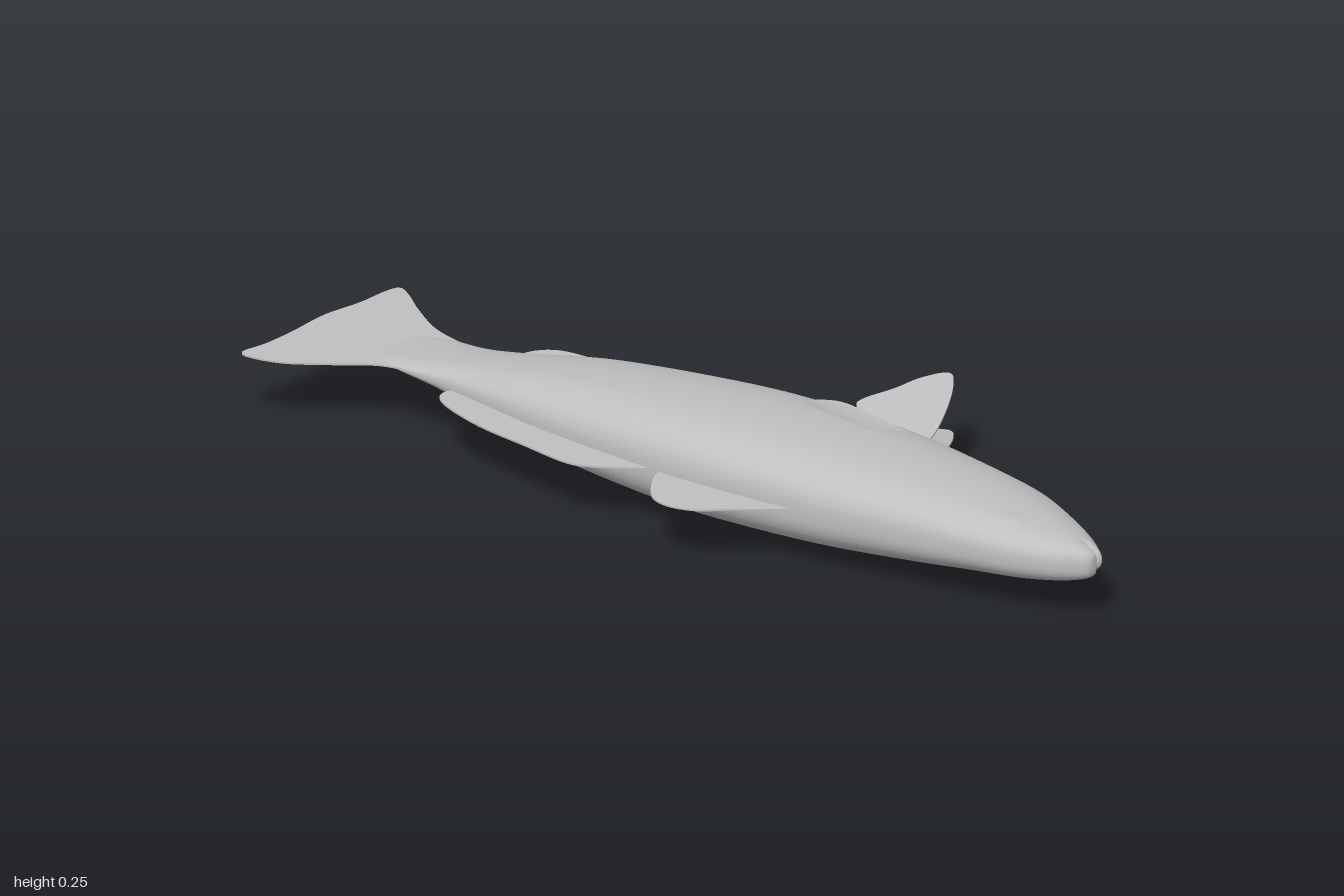
import * as THREE from 'three';

const MID = 0.137; // height of the mirror plane; the fish lies on its side

// Body sections: x, belly z, back z, half thickness, centre height
const SECTIONS = [
  [-0.78, 0.03, 0.165, 0.002, 0.155], [-0.7, 0.004, 0.183, 0.012, 0.154],
  [-0.6, 0, 0.184, 0.03, 0.15], [-0.5, -0.025, 0.2, 0.05, 0.146],
  [-0.3, -0.09, 0.236, 0.083, 0.143], [0, -0.145, 0.262, 0.104, 0.141],
  [0.2, -0.16, 0.26, 0.105, 0.14], [0.4, -0.155, 0.246, 0.098, 0.139],
  [0.6, -0.125, 0.217, 0.083, 0.138], [0.74, -0.095, 0.195, 0.068, 0.137],
  [0.85, -0.045, 0.174, 0.056, 0.135], [0.93, 0.002, 0.147, 0.044, 0.134],
  [0.975, 0.036, 0.118, 0.034, 0.133], [0.996, 0.056, 0.1, 0.022, 0.132],
  [1, 0.08, 0.08, 0, 0.132],
];

function bodyGeometry() {
  const curve = (f) => new THREE.CatmullRomCurve3(SECTIONS.map(f), false, 'catmullrom', 0.5);
  const belly = curve((s) => new THREE.Vector3(s[0], s[4], s[1]));
  const back = curve((s) => new THREE.Vector3(s[0], s[3], s[2]));
  const rings = 84, sides = 64, pos = [], index = [];
  const bend = (v, p) => Math.sign(v) * Math.abs(v) ** p;
  for (let i = 0; i <= rings; i++) {
    const lo = belly.getPoint(i / rings), hi = back.getPoint(i / rings);
    const zc = lo.z + 0.6 * (hi.z - lo.z);
    for (let j = 0; j < sides; j++) {
      const a = (j / sides) * Math.PI * 2, c = Math.cos(a), s = Math.sin(a);
      const p = s > 0 ? 0.78 : 0.95; // fuller back, narrower belly
      const z = zc + bend(s, p) * (s > 0 ? hi.z - zc : zc - lo.z);
      // Mouth groove near the snout tip
      const g = Math.exp(-(((z - 0.066) / 0.007) ** 2)) * THREE.MathUtils.smoothstep(lo.x, 0.94, 0.985);
      pos.push(lo.x - 0.014 * g, lo.y + Math.max(0, hi.y) * bend(c, p) * (1 - 0.12 * g), z);
      if (i < rings) {
        const k = (j + 1) % sides, A = i * sides + j, D = i * sides + k;
        index.push(A, D, A + sides, D, D + sides, A + sides);
      }
    }
  }
  const geo = new THREE.BufferGeometry();
  geo.setAttribute('position', new THREE.Float32BufferAttribute(pos, 3));
  geo.setIndex(index);
  geo.computeVertexNormals();
  return geo;
}

// Thin plate with a smooth outline given as (x, z) points
function finGeometry(points, y) {
  const pts = points.map(([x, z]) => new THREE.Vector2(x, z));
  const shape = new THREE.Shape();
  shape.moveTo(pts[0].x, pts[0].y);
  shape.splineThru(pts.slice(1));
  const depth = 0.004;
  const geo = new THREE.ExtrudeGeometry(shape, { depth, bevelEnabled: false, curveSegments: 40 });
  geo.rotateX(Math.PI / 2);
  geo.translate(0, y + depth / 2, 0);
  return geo;
}

// Side fin: a curved blade that flares away from the body at its rounded rear end
function pectoralGeometry(side) {
  const geo = new THREE.PlaneGeometry(1, 1, 24, 12);
  const p = geo.attributes.position;
  for (let i = 0; i < p.count; i++) {
    const u = p.getX(i) + 0.5, v = p.getY(i);
    const round = Math.sqrt(Math.max(0, 1 - Math.max(0, 1 - u / 0.25) ** 2));
    const lo = -0.076, hi = 0.03 - 0.04 * u;
    const z = (lo + hi) / 2 + 0.01 * (1 - round) + v * (hi - lo) * round;
    const w = (z - lo) / 0.106;
    const y = THREE.MathUtils.lerp(0.242 + 0.026 * w * w, 0.205 + 0.02 * w, u ** 1.3);
    p.setXYZ(i, 0.19 + 0.265 * u, MID + side * (y - MID), z);
  }
  geo.computeVertexNormals();
  return geo;
}

export function createModel() {
  const model = new THREE.Group();
  model.name = 'fish';
  const grey = new THREE.MeshStandardMaterial({ color: 0xbfbfbf, side: THREE.DoubleSide });
  grey.name = 'grey';
  const add = (name, geo) => {
    const mesh = new THREE.Mesh(geo, grey);
    mesh.name = name;
    model.add(mesh);
    return mesh;
  };

  add('body', bodyGeometry());

  // Fins in the middle plane
  add('tailFin', finGeometry([[-0.64, 0.01], [-0.7, 0], [-0.77, -0.025], [-0.85, -0.078], [-0.91, -0.125],
    [-0.945, -0.142], [-0.958, -0.11], [-0.965, -0.03], [-0.983, 0.06], [-0.983, 0.17], [-0.988, 0.25],
    [-1, 0.31], [-0.97, 0.32], [-0.9, 0.302], [-0.82, 0.25], [-0.75, 0.2], [-0.7, 0.184], [-0.64, 0.178]], 0.155));
  add('firstDorsalFin', finGeometry([[0.03, 0.23], [0.025, 0.27], [0.05, 0.32], [0.09, 0.37], [0.14, 0.386],
    [0.2, 0.37], [0.26, 0.32], [0.35, 0.25], [0.37, 0.22]], 0.142));
  add('secondDorsalFin', finGeometry([[-0.54, 0.17], [-0.566, 0.2], [-0.555, 0.235], [-0.5, 0.266], [-0.4, 0.298],
    [-0.28, 0.318], [-0.16, 0.337], [-0.1, 0.322], [-0.04, 0.285], [0.01, 0.25], [0.01, 0.22]], 0.143));
  add('analFin', finGeometry([[-0.53, 0.01], [-0.56, -0.02], [-0.55, -0.07], [-0.51, -0.104], [-0.44, -0.112],
    [-0.38, -0.1], [-0.32, -0.08], [-0.29, -0.06]], 0.144));

  // Paired parts, mirrored across the middle plane
  for (const [side, label] of [[1, 'upper'], [-1, 'lower']]) {
    const pelvic = finGeometry([[0.27, -0.11], [0.24, -0.165], [0.175, -0.2], [0.168, -0.23], [0.2, -0.29],
      [0.225, -0.35], [0.265, -0.39], [0.305, -0.35], [0.355, -0.255], [0.385, -0.17], [0.38, -0.11]], MID);
    const p = pelvic.attributes.position;
    for (let i = 0; i < p.count; i++) p.setY(i, p.getY(i) + side * (0.024 - 0.17 * (p.getZ(i) + 0.16)));
    pelvic.computeVertexNormals();
    add(label + 'PelvicFin', pelvic);

    add(label + 'PectoralFin', pectoralGeometry(side));

    const eye = add(label + 'Eye', new THREE.SphereGeometry(0.039, 32, 20));
    eye.scale.y = 0.3;
    eye.position.set(0.808, 0.136 + side * 0.051, 0.103);
    eye.rotation.z = -side * 0.12;
  }
  return model;
}
